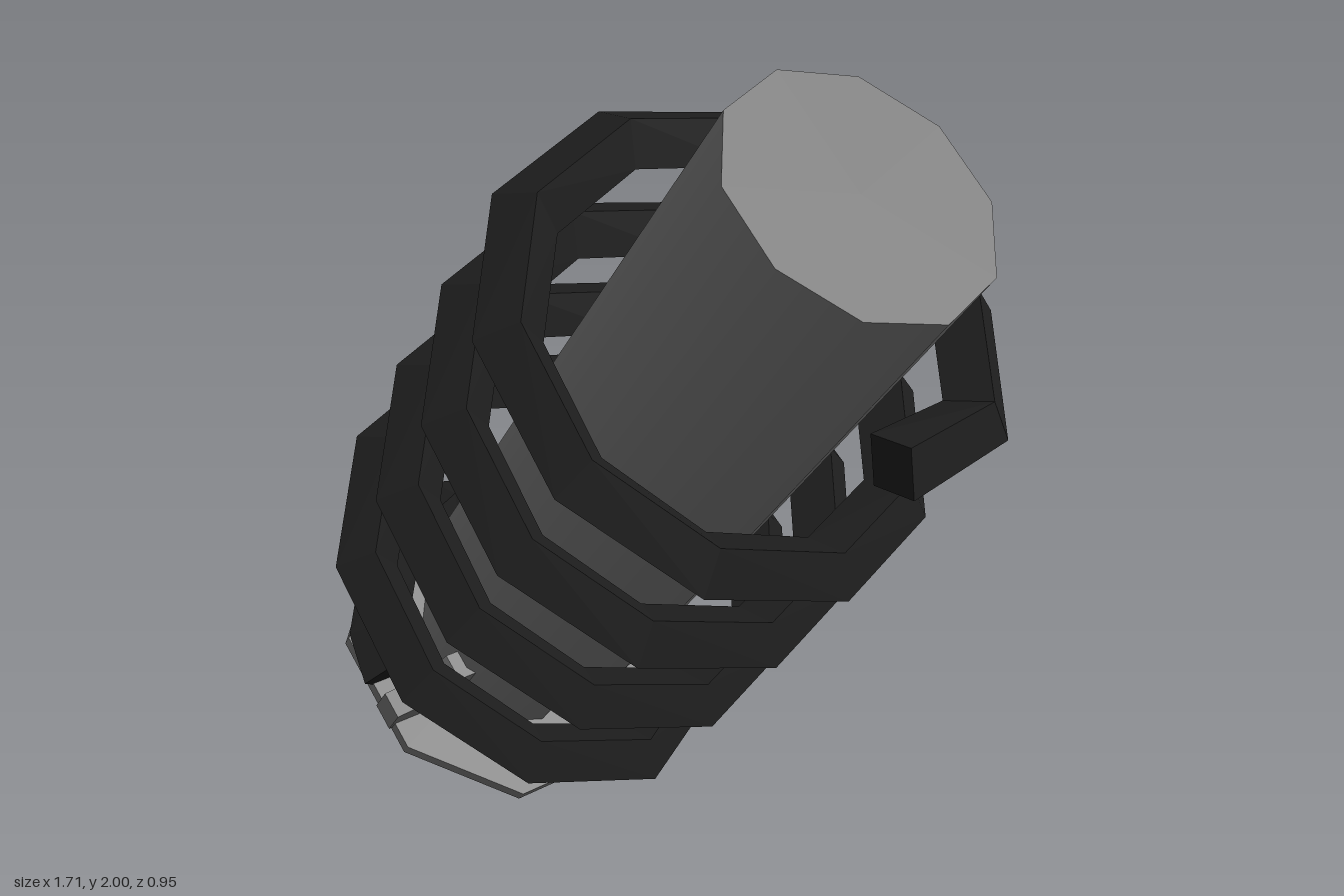
import * as THREE from 'three';

const grey = new THREE.MeshStandardMaterial({ color: 0x7c7c7c });
const black = new THREE.MeshStandardMaterial({ color: 0x1e1e1e, flatShading: true });

// Tilted frame: local x across the body, y along its axis, z to the front
const tilt = THREE.MathUtils.degToRad(37.87);
const frame = new THREE.Matrix4().makeBasis(
  new THREE.Vector3(0.81, -0.586, 0).multiplyScalar(1.05),
  new THREE.Vector3(Math.sin(tilt), Math.cos(tilt), 0),
  new THREE.Vector3(0, 0, 1)
).setPosition(-0.69, 0.135, 0);

function cylinder(radius, y0, y1, sides, start) {
  return new THREE.CylinderGeometry(radius, radius, y1 - y0, sides, 1, false, start)
    .translate(0, (y0 + y1) / 2, 0);
}

// Spring with a diamond section and ten straight segments per turn, narrow at its lower end
function springGeometry() {
  const turn = Math.PI * 2, half = 0.068, lastStep = 50;
  const angles = [turn / 4];
  for (let i = 3; i <= lastStep; i++) angles.push(i * turn / 10);

  const positions = [], index = [];
  angles.forEach((a, k) => {
    const widen = THREE.MathUtils.smoothstep(a, turn * 0.7, turn);
    const closing = k === angles.length - 1 ? 0.05 : 0;
    const radius = 0.3 + 0.13 * widen - closing;
    const y = 0.625 + 0.306 * (a / turn - 1) - 0.055 * (1 - widen);
    for (const [dr, dy] of [[-1, 0], [0, -1], [1, 0], [0, 1]]) {
      const r = radius + dr * half;
      positions.push(r * Math.cos(a) - 0.022, y + dy * half, r * Math.sin(a));
    }
    if (k === 0) return;
    const p = (k - 1) * 4, q = k * 4;
    for (let i = 0; i < 4; i++) {
      const j = (i + 1) % 4;
      index.push(p + i, p + j, q + j, p + i, q + j, q + i);
    }
  });
  const e = (angles.length - 1) * 4;
  index.push(0, 2, 1, 0, 3, 2, e, e + 1, e + 2, e, e + 2, e + 3);

  const g = new THREE.BufferGeometry();
  g.setAttribute('position', new THREE.Float32BufferAttribute(positions, 3));
  g.setIndex(index);
  const flat = g.toNonIndexed();
  flat.computeVertexNormals();
  return flat;
}

// Curved gusset that holds the lower end of the spring
function gussetGeometry() {
  const s = new THREE.Shape();
  s.moveTo(0.16, 0.29);
  s.lineTo(0.345, 0.29);
  s.lineTo(0.345, 0.36);
  s.quadraticCurveTo(0.25, 0.37, 0.22, 0.47);
  s.lineTo(0.16, 0.47);
  return new THREE.ExtrudeGeometry(s, { depth: 0.06, bevelEnabled: false, curveSegments: 4 })
    .rotateY(-Math.PI / 2).translate(0.08, 0, 0);
}

export function createModel() {
  const group = new THREE.Group();
  const add = (name, geometry, material = grey) => {
    const mesh = new THREE.Mesh(geometry.applyMatrix4(frame), material);
    mesh.name = name;
    group.add(mesh);
  };

  // Upper body and the thin piston below it
  add('upperBody', cylinder(0.259, 0.665, 2.158, 10, Math.PI / 2));
  add('piston', cylinder(0.1, 0.6, 0.68, 10, Math.PI / 2));

  // Lower rod with a rounded foot
  const profile = [[0, -0.075], [0.092, -0.073], [0.155, -0.048], [0.199, 0], [0.199, 0.62]];
  add('lowerRod', new THREE.LatheGeometry(
    profile.map(([r, y]) => new THREE.Vector2(r, y)), 10, Math.PI / 2));
  add('lowerRodTop', new THREE.CircleGeometry(0.199, 10)
    .rotateX(-Math.PI / 2).translate(0, 0.62, 0));

  // Spring and its seat
  add('springSeat', cylinder(0.365, 0.285, 0.315, 8, Math.PI / 8));
  add('springGusset', gussetGeometry());
  add('spring', springGeometry(), black);
  return group;
}
